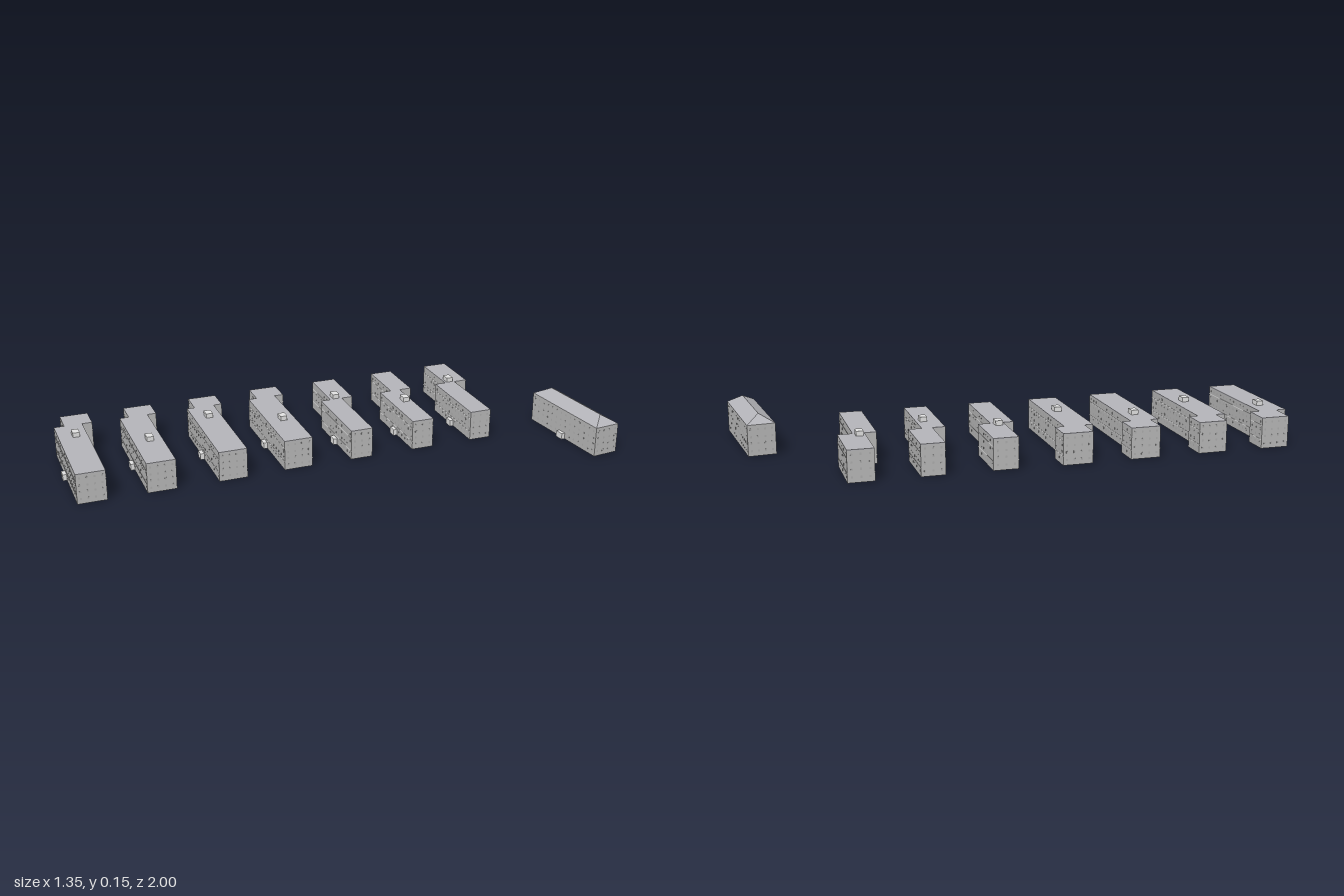
import * as THREE from 'three';
import { mergeGeometries } from 'three/addons/utils/BufferGeometryUtils.js';

const mat = (name, color, side = THREE.FrontSide) => {
  const m = new THREE.MeshStandardMaterial({ color, side });
  m.name = name;
  return m;
};

export function createModel() {
  const wall = mat('wall grey', 0xb7b7b7, THREE.DoubleSide);
  const roof = mat('roof grey', 0xb4b4b9);
  const pale = mat('pale grey', 0xe2e2e2);
  const glass = mat('window grey', 0xacacac);
  const H = 0.12, SLAB = 0.004;
  const model = new THREE.Group();
  model.name = 'housingEstate';

  const add = (parent, name, geometry, material) => {
    const m = new THREE.Mesh(geometry, material);
    m.name = name;
    parent.add(m);
    return m;
  };

  // Calls fn(a, b, length, angle) for each side of a footprint of [x, z] corners
  const eachSide = (pts, fn) => pts.forEach((a, i) => {
    const b = pts[(i + 1) % pts.length];
    const dx = b[0] - a[0], dz = b[1] - a[1];
    fn(a, b, Math.hypot(dx, dz), Math.atan2(dz, dx));
  });

  // Moves a geometry onto a wall line, at fraction t between corners a and b
  const onWall = (geo, a, b, angle, t, y) => geo.rotateY(-angle)
    .translate(a[0] + (b[0] - a[0]) * t, y, a[1] + (b[1] - a[1]) * t);

  // Open shell of walls, without floor
  const addWalls = (parent, pts, h) => {
    const list = [];
    eachSide(pts, (a, b, len, angle) => {
      // The footprint runs clockwise from above, so planes turn to face outwards
      list.push(onWall(new THREE.PlaneGeometry(len, h).rotateY(Math.PI), a, b, angle, 0.5, h / 2));
    });
    add(parent, 'walls', mergeGeometries(list), wall);
  };

  // Small window panes in four rows
  const addWindows = (parent, pts) => {
    const list = [];
    eachSide(pts, (a, b, len, angle) => {
      if (len < 0.06) return;
      const n = Math.round(len / 0.03);
      for (let k = 0; k < n; k++) {
        for (const y of [0.02, 0.049, 0.074, 0.103]) {
          list.push(onWall(new THREE.BoxGeometry(0.007, 0.008, 0.001), a, b, angle, (k + 0.5) / n, y));
        }
      }
    });
    add(parent, 'windows', mergeGeometries(list), glass);
  };

  // Pale horizontal bands along the long walls
  const addBands = (parent, pts) => {
    const list = [];
    eachSide(pts, (a, b, len, angle) => {
      if (a[1] !== b[1]) return;
      for (const y of [0.034, 0.089]) {
        list.push(onWall(new THREE.BoxGeometry(len, 0.003, 0.002), a, b, angle, 0.5, y));
      }
    });
    add(parent, 'wallBands', mergeGeometries(list), pale);
  };

  // Low entrance porch on a front wall
  const addPorch = (parent, x, z) => {
    add(parent, 'entrancePorch', new THREE.BoxGeometry(0.036, 0.025, 0.016), pale)
      .position.set(x, 0.0125, z + 0.007);
  };

  // Stepped apartment blocks: u = along the block, v = towards the front
  // [left end, step, right end, rear wing v range, front wing v range, hatch x z, porch x]
  const A = Math.PI / 12, ca = Math.cos(A), sa = Math.sin(A);
  const blocks = [
    [-0.439, -0.227, 0.102, -0.731, -0.633, -0.676, -0.588, -0.071, -0.698, 0.087],
    [-0.437, -0.225, 0.104, -0.470, -0.380, -0.420, -0.331, -0.008, -0.409, 0.024],
    [-0.437, -0.225, 0.105, -0.205, -0.109, -0.158, -0.069, -0.203, -0.194, -0.045],
    [-0.445, -0.347, 0.104, 0.056, 0.171, 0.092, 0.205, -0.140, 0.108, -0.177],
    [-0.440, -0.341, 0.112, 0.323, 0.437, 0.357, 0.468, -0.335, 0.333, -0.235],
    [-0.438, -0.340, 0.111, 0.597, 0.708, 0.632, 0.744, -0.272, 0.632, -0.309],
    [-0.441, -0.341, 0.110, 0.854, 0.964, 0.893, 1.004, -0.472, 0.844, -0.377],
  ];
  blocks.forEach(([u0, us, u1, r0, r1, f0, f1, hx, hz, px], i) => {
    const g = new THREE.Group();
    g.name = 'apartmentBlock' + (i + 1);
    g.rotation.y = -A;
    const pts = [[u0, r0], [us, r0], [us, f0], [u1, f0], [u1, f1], [us, f1], [us, r1], [u0, r1]];
    addWalls(g, pts, H - SLAB);
    addWindows(g, pts);
    addBands(g, pts);
    // Flat roof slab
    const outline = new THREE.Shape(pts.map(([x, z]) => new THREE.Vector2(x, z)));
    const slab = new THREE.ExtrudeGeometry(outline, { depth: SLAB, bevelEnabled: false });
    add(g, 'flatRoof', slab.rotateX(Math.PI / 2), roof).position.y = H;
    // Roof stair hatch
    add(g, 'roofHatch', new THREE.BoxGeometry(0.037, 0.018, 0.027), pale)
      .position.set(hx * ca + hz * sa, H + 0.009, -hx * sa + hz * ca);
    addPorch(g, (px + f1 * sa) / ca, f1);
    model.add(g);
  });

  // Separate hip-roofed house
  const house = new THREE.Group();
  house.name = 'hipRoofHouse';
  house.position.set(0.46, 0, -0.915);
  house.rotation.y = -0.155;
  const L = 0.208, D = 0.053, R = 0.158;
  const base = [[-L, -D], [L, -D], [L, D], [-L, D]];
  addWalls(house, base, H);
  addWindows(house, base);
  addPorch(house, 0, D);
  // Hip roof: a box whose upper corners meet along the ridge
  const hip = new THREE.BoxGeometry(2 * L, 0.031, 2 * D).toNonIndexed();
  const p = hip.attributes.position;
  for (let i = 0; i < p.count; i++) {
    if (p.getY(i) > 0) p.setXYZ(i, Math.sign(p.getX(i)) * R, p.getY(i), 0);
  }
  hip.computeVertexNormals();
  add(house, 'hipRoof', hip, roof).position.y = H + 0.0155;
  model.add(house);

  return model;
}
